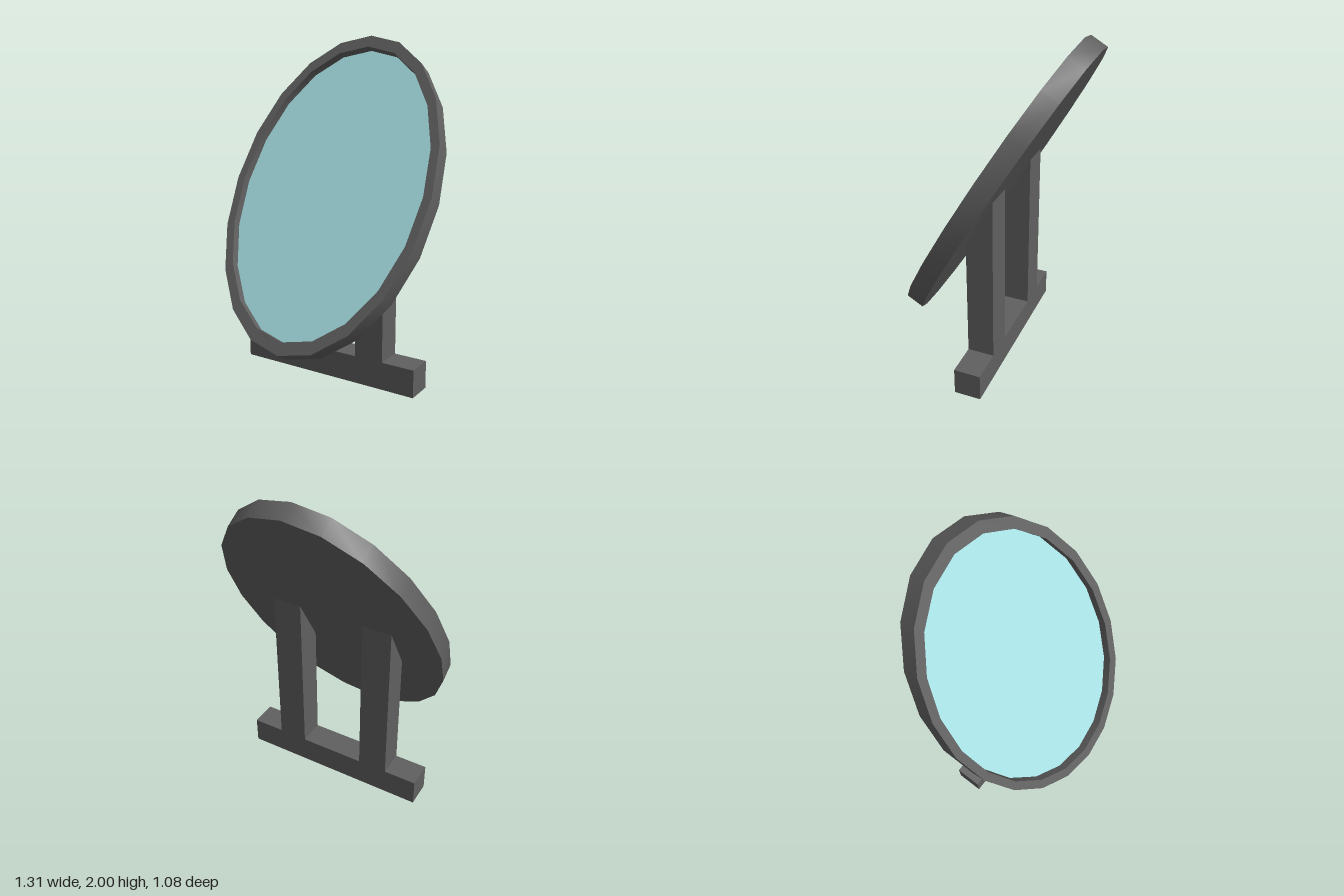
import * as THREE from 'three';
import { toCreasedNormals } from 'three/addons/utils/BufferGeometryUtils.js';

const SIDES = 20, TILT = Math.PI / 6;
const HALF_W = 0.655, HALF_H = 0.987, THICK = 0.11, INNER = 0.924, RECESS = 0.05;
const CENTER_Y = 1.118;
const BACK = -0.1, FRONT = 0.06;

export function createModel() {
  const model = new THREE.Group();
  const frameMat = new THREE.MeshStandardMaterial({ color: 0x606060 });
  const glassMat = new THREE.MeshStandardMaterial({ color: 0xa8e2e6 });

  const add = (parent, name, geometry, material) => {
    const mesh = new THREE.Mesh(geometry, material);
    mesh.name = name;
    parent.add(mesh);
    return mesh;
  };

  // Oval mirror, leaning back
  const mirror = new THREE.Group();
  mirror.name = 'mirror';
  mirror.position.y = CENTER_Y;
  mirror.rotation.x = -TILT;
  model.add(mirror);

  // Frame: flat back, outer edge, front rim and recessed inner wall
  const h = THICK / 2;
  const profile = [[0, -h], [1, -h], [1, h], [INNER, h], [INNER, h - RECESS]]
    .map(([r, y]) => new THREE.Vector2(r, y));
  const frame = new THREE.LatheGeometry(profile, SIDES);
  frame.rotateX(Math.PI / 2).scale(HALF_W, HALF_H, 1);
  add(mirror, 'mirrorFrame', toCreasedNormals(frame, 0.6), frameMat);

  // Glass set into the frame
  const glass = new THREE.CircleGeometry(INNER, SIDES);
  glass.scale(HALF_W, HALF_H, 1);
  add(mirror, 'mirrorGlass', glass, glassMat).position.z = h - RECESS;

  // Stand: foot bar
  const depth = FRONT - BACK, midZ = (FRONT + BACK) / 2, footH = 0.165;
  add(model, 'footBar', new THREE.BoxGeometry(1.16, footH, depth), frameMat)
    .position.set(0, footH / 2, midZ);

  // Two posts with tops cut to meet the back of the mirror
  const backPlaneY = (z) =>
    CENTER_Y - h * Math.sin(TILT) - (z + h * Math.cos(TILT)) / Math.tan(TILT);
  for (const side of [-1, 1]) {
    const post = new THREE.BoxGeometry(0.18, 1, depth);
    post.translate(side * 0.29, 0, midZ);
    const p = post.attributes.position;
    for (let i = 0; i < p.count; i++) {
      p.setY(i, p.getY(i) > 0 ? backPlaneY(p.getZ(i)) : footH);
    }
    post.computeVertexNormals();
    add(model, side > 0 ? 'leftPost' : 'rightPost', post, frameMat);
  }

  return model;
}
